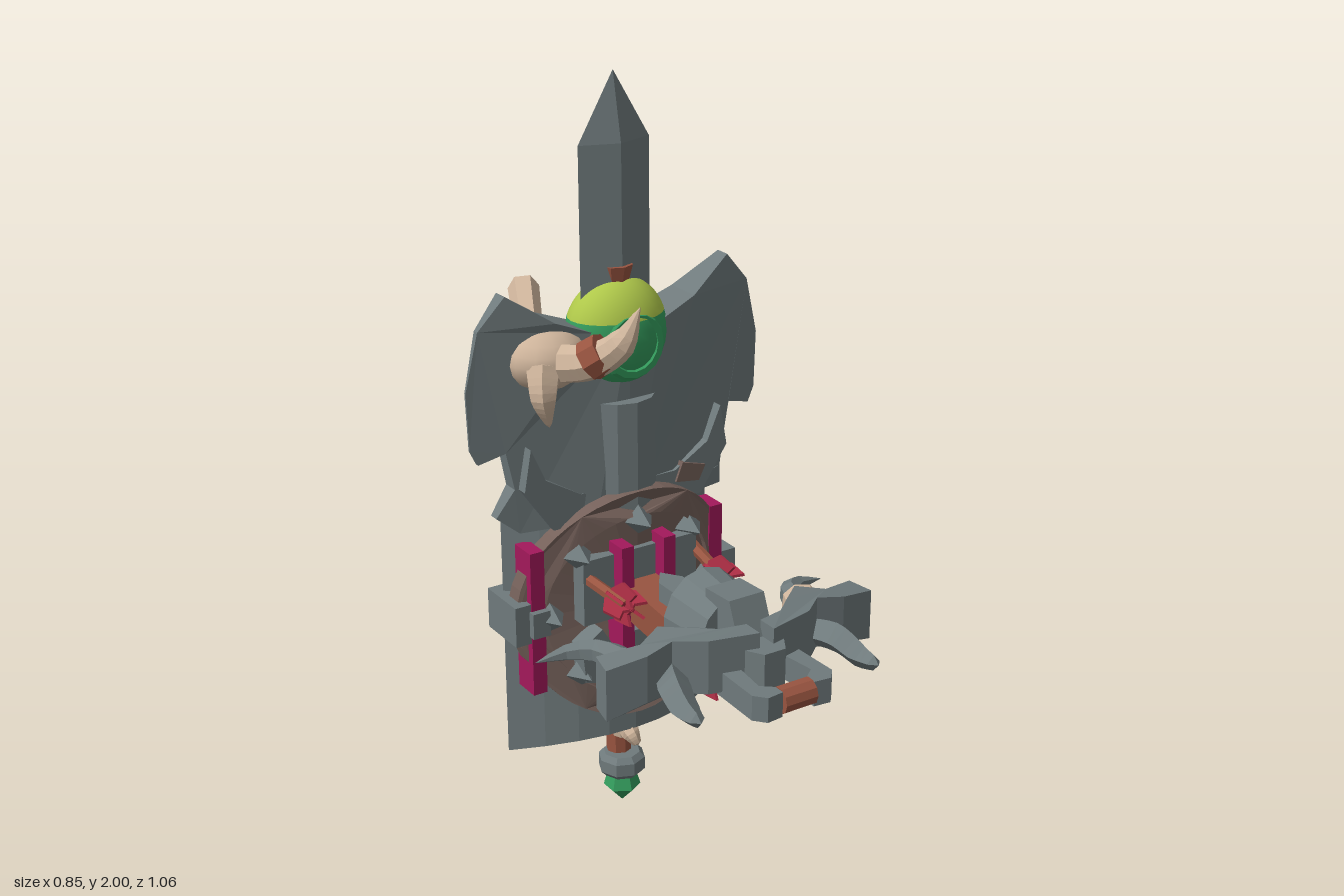
import * as THREE from 'three';

const mat = (name, color, side = THREE.FrontSide) => {
  const m = new THREE.MeshStandardMaterial({ color, side });
  m.name = name;
  return m;
};

export function createModel() {
  const root = new THREE.Group();
  root.name = 'ornateWeapon';
  const steel = mat('steel', 0x6f7a7c), wood = mat('dull wood', 0x75615a), leather = mat('leather', 0x985440);
  const magenta = mat('magenta cloth', 0xa3195b), red = mat('red feather', 0xa82c42, THREE.DoubleSide);
  const bone = mat('bone', 0xcfb59c), lime = mat('lime', 0xafc84a), green = mat('green', 0x349c5d);
  const V = (p) => new THREE.Vector3(...p);
  const sides = [-1, 1];

  const add = (name, geo, m, pos = [0, 0, 0], rot = [0, 0, 0], flat = true) => {
    let g = geo;
    if (flat) {
      if (g.index) g = g.toNonIndexed();
      g.computeVertexNormals();
    }
    const mesh = new THREE.Mesh(g, m);
    mesh.name = name;
    mesh.position.set(...pos);
    mesh.rotation.set(...rot);
    root.add(mesh);
    return mesh;
  };
  // box given by its low and high corners
  const box = (name, a, b, m) => add(name,
    new THREE.BoxGeometry(b[0] - a[0], b[1] - a[1], b[2] - a[2]), m, a.map((v, i) => (v + b[i]) / 2));
  const shapeOf = (pts) => new THREE.Shape(pts.map((p) => new THREE.Vector2(p[0], p[1])));
  // plate drawn in x-y, between two depths
  const plate = (pts, z0, z1) => new THREE.ExtrudeGeometry(shapeOf(pts),
    { depth: z1 - z0, bevelEnabled: false }).translate(0, 0, z0);
  // slab drawn in x-z, between two heights
  const slab = (pts, y0, y1) => new THREE.ExtrudeGeometry(shapeOf(pts.map((p) => [p[0], -p[1]])),
    { depth: y1 - y0, bevelEnabled: false }).rotateX(-Math.PI / 2).translate(0, y0, 0);
  // tapered tube through points; both end rings close to a point
  const limb = (name, pts, radii, m, n = 6) => {
    const curve = new THREE.CatmullRomCurve3(pts.map(V)), seg = 12;
    const g = new THREE.TubeGeometry(curve, seg, 1, n, false), pos = g.attributes.position;
    for (let i = 0; i <= seg; i++) {
      const c = curve.getPointAt(i / seg), f = (i / seg) * (radii.length - 1);
      const k = Math.min(Math.floor(f), radii.length - 2);
      const r = i === 0 || i === seg ? 0.0005 : THREE.MathUtils.lerp(radii[k], radii[k + 1], f - k);
      for (let j = 0; j <= n; j++) {
        const q = i * (n + 1) + j, v = new THREE.Vector3().fromBufferAttribute(pos, q);
        v.sub(c).multiplyScalar(r).add(c);
        pos.setXYZ(q, v.x, v.y, v.z);
      }
    }
    return add(name, g, m);
  };
  // cylinder running between two points
  const rod = (name, a, b, ra, rb, m, n = 8) => {
    const d = V(b).sub(V(a));
    const mesh = add(name, new THREE.CylinderGeometry(rb, ra, d.length(), n), m);
    mesh.position.copy(V(a).addScaledVector(d, 0.5));
    mesh.quaternion.setFromUnitVectors(new THREE.Vector3(0, 1, 0), d.normalize());
    return mesh;
  };
  const lathe = (pts, n) => new THREE.LatheGeometry(pts.map((p) => new THREE.Vector2(...p)), n);

  // sword point with a diamond section
  add('swordBlade', lathe([[0.1, 1.2], [0.1, 1.83], [0.0005, 2]], 4).scale(1, 1, 0.34), steel, [0, 0, -0.278]);

  // axe wings, thick in the middle and sharp outside
  for (const s of sides) {
    const pts = [[0, 1.38], [0.1, 1.38], [0.2, 1.42], [0.32, 1.5], [0.39, 1.42], [0.425, 1.27], [0.42, 1.12],
      [0.40, 1.08], [0.33, 1.1], [0.31, 1.0], [s < 0 ? 0.36 : 0.3, 0.93], [0.3, 0.88], [0.1, 0.88], [0, 0.88]];
    const g = plate(pts.map(([x, y]) => [x * s, y]), -1, 1), p = g.attributes.position;
    for (let i = 0; i < p.count; i++) {
      const x = Math.abs(p.getX(i));
      const t = Math.max(0.003, 0.066 * (1 - (x / 0.43) ** 2) * (x > 0.25 ? 0.7 : 1));
      p.setZ(i, -0.28 + Math.sign(p.getZ(i)) * t);
    }
    add('axeWing', g, steel);
  }
  add('mastSleeve', new THREE.CylinderGeometry(0.1, 0.1, 0.3, 12), steel, [0, 1.04, -0.28]);

  // round painted head with an eye on each face
  const ball = (name, a, b, m) => add(name, new THREE.SphereGeometry(1, 24, 10, 0, Math.PI * 2, a, b)
    .scale(0.137, 0.145, 0.104), m, [0, 1.35, -0.278], [0, 0, 0], false);
  ball('headCap', 0, 1.22, lime);
  ball('headBody', 1.22, Math.PI - 1.22, green);
  for (const s of sides) {
    add('eyeRing', new THREE.TorusGeometry(0.073, 0.016, 6, 16), green, [0, 1.335, -0.278 + s * 0.08]);
  }
  add('headCollar', new THREE.CylinderGeometry(0.045, 0.035, 0.04, 8), leather, [0, 1.505, -0.278]);

  // skull hung on one wing
  add('skull', new THREE.SphereGeometry(1, 14, 10).scale(0.115, 0.085, 0.12), bone, [-0.205, 1.325, -0.29],
    [0, 0, 0], false);
  limb('skullFrontHorn', [[-0.22, 1.33, -0.2], [-0.165, 1.35, -0.12], [-0.12, 1.41, -0.05], [-0.09, 1.5, -0.02]],
    [0.05, 0.045, 0.035, 0.002], bone, 8);
  rod('hornBand', [-0.17, 1.35, -0.125], [-0.143, 1.378, -0.095], 0.052, 0.05, leather);
  rod('skullBackHorn', [-0.2, 1.36, -0.36], [-0.13, 1.425, -0.51], 0.035, 0.04, bone, 6);
  limb('skullSideHorn', [[-0.16, 1.37, -0.41], [-0.21, 1.39, -0.45], [-0.28, 1.35, -0.46]], [0.035, 0.03, 0.002], bone);
  limb('skullBackTusk', [[-0.2, 1.33, -0.35], [-0.2, 1.26, -0.43], [-0.21, 1.16, -0.47]], [0.045, 0.035, 0.002], bone);
  limb('skullJaw', [[-0.24, 1.33, -0.22], [-0.26, 1.26, -0.19], [-0.24, 1.17, -0.2]], [0.05, 0.035, 0.005], bone);

  // curved shield, open to the back, with an arched foot
  const front = [], back = [];
  for (let i = -4; i <= 4; i++) {
    const x = i / 4, z = -0.2 - 0.14 * x * x;
    front.push([x * 0.31, z]);
    back.unshift([x * 0.295, z - 0.028]);
  }
  const shield = slab([...front, ...back], 0.22, 0.93), sp = shield.attributes.position;
  for (let i = 0; i < sp.count; i++) {
    if (sp.getY(i) < 0.5) sp.setY(i, 0.26 - 0.04 * (sp.getX(i) / 0.31) ** 2);
  }
  add('shield', shield, steel);
  add('crescent', plate([[-0.28, 1.11], [-0.24, 1.02], [-0.14, 0.96], [0.14, 0.96], [0.24, 1.02], [0.28, 1.11],
    [0.3, 1], [0.22, 0.88], [-0.22, 0.88], [-0.3, 1]], -0.3, -0.225), steel);
  add('woodPatch', plate([[0.14, 0.93], [0.21, 0.92], [0.23, 0.96], [0.16, 0.98]], -0.345, -0.218), wood);

  // round wooden boss, bent back at its sides like the shield
  const sweep = (x) => 0.09 * (x / 0.31) ** 2;
  const bend = (g) => {
    const p = g.attributes.position;
    for (let i = 0; i < p.count; i++) p.setZ(i, p.getZ(i) - sweep(p.getX(i)));
    return g;
  };
  const turn = [Math.PI / 2, 0, 0];
  add('bossDisc', bend(new THREE.CylinderGeometry(0.27, 0.27, 0.02, 24).rotateX(Math.PI / 2)), wood, [0, 0.64, -0.195]);
  const rim = new THREE.Shape().absarc(0, 0, 0.315, 0, Math.PI * 2);
  rim.holes.push(new THREE.Path().absarc(0, 0, 0.25, 0, Math.PI * 2, true));
  add('bossRim', bend(new THREE.ExtrudeGeometry(rim, { depth: 0.045, bevelEnabled: false, curveSegments: 24 })), wood,
    [0, 0.64, -0.215]);
  box('bossPlate', [-0.17, 0.62, -0.22], [0.17, 0.8, -0.17], steel);
  for (const s of sides) {
    const low = [[0.1, 0.44], [0.17, 0.46], [0.18, 0.56], [0.12, 0.6], [0.09, 0.55]];
    add('bossClaw', plate(low.map(([x, y]) => [x * s, y]), -0.22, -0.165), steel);
    const x = (a, b) => (s < 0 ? [-b, -a] : [a, b]);
    const [a, b] = x(0.25, 0.29), [c, d] = x(0.045, 0.08), [e, f] = x(0.285, 0.335);
    box('sideBar', [a, 0.43, -0.305], [b, 0.83, -0.228], magenta);
    box('innerBar', [c, 0.43, -0.21], [d, 0.83, -0.13], magenta);
    box('sideClamp', [e, 0.58, -0.375], [f, 0.69, -0.23], steel);
    box('clampCap', [s * 0.27 - 0.025, 0.6, -0.28], [s * 0.27 + 0.025, 0.67, -0.21], steel);
  }
  box('lowerBolt', [-0.035, 0.43, -0.2], [0.035, 0.58, -0.15], steel);
  for (let i = 0; i < 8; i++) {
    const a = (i * Math.PI) / 4, x = Math.sin(a) * 0.235;
    add('bossSpike', new THREE.ConeGeometry(0.04, 0.06, 4), steel,
      [x, 0.64 + Math.cos(a) * 0.235, -0.15 - sweep(x)], turn);
  }

  // forward beam and drum
  add('beam', slab([[-0.05, -0.2], [0.05, -0.2], [0.08, 0.12], [-0.08, 0.12]], 0.62, 0.715), leather);
  add('beamSpine', slab([[-0.035, -0.03], [0, -0.08], [0.035, -0.03], [0.035, 0.14], [-0.035, 0.14]], 0.69, 0.765), steel);
  add('drum', new THREE.CylinderGeometry(0.098, 0.115, 0.14, 14).scale(1, 1, 1.17), steel, [0, 0.722, 0.182], turn);
  add('drumBrow', plate([[-0.34, 0.76], [-0.36, 0.73], [-0.2, 0.73], [-0.2, 0.85], [-0.3, 0.855]], -0.05, 0.05),
    steel, [0, 0, 0], [0, Math.PI / 2, 0]);
  add('ramHead', slab([[-0.055, 0.24], [0.055, 0.24], [0.06, 0.37], [0.03, 0.42], [-0.03, 0.42], [-0.06, 0.37]],
    0.63, 0.76), steel);
  rod('roll', [-0.045, 0.68, 0.498], [0.045, 0.68, 0.498], 0.034, 0.034, leather, 10);

  // horns, hooked wings and claws on each side of the ram
  for (const s of sides) {
    const m = (pts) => pts.map(([x, ...r]) => [x * s, ...r]);
    add('ramProng', slab(m([[0.06, 0.34], [0.11, 0.34], [0.115, 0.49], [0.09, 0.52], [0.045, 0.515],
      [0.045, 0.485], [0.075, 0.46]]), 0.645, 0.71), steel);
    const wing = slab(m([[0.02, 0.33], [0.09, 0.315], [0.13, 0.28], [0.2, 0.22], [0.27, 0.255], [0.37, 0.22],
      [0.385, 0.29], [0.285, 0.31], [0.21, 0.3], [0.145, 0.355], [0.02, 0.385]]), 0.65, 0.77);
    const wp = wing.attributes.position;
    for (let i = 0; i < wp.count; i++) {
      const x = Math.abs(wp.getX(i));
      if (wp.getY(i) > 0.7) wp.setY(i, 0.8 - 0.18 * Math.max(0, x - 0.18));
      else wp.setY(i, 0.66 - (x > 0.3 ? 0.03 : 0));
    }
    add('hookWing', wing, steel);
    limb('frontClaw', m([[0.2, 0.7, 0.28], [0.235, 0.7, 0.35], [0.25, 0.68, 0.42], [0.255, 0.68, 0.49]]),
      [0.035, 0.04, 0.035, 0.015], steel, 4);
    limb('curvedHorn', m([[0.08, 0.71, 0.3], [0.17, 0.71, 0.26], [0.255, 0.7, 0.18], [0.285, 0.7, 0.09],
      [0.34, 0.69, 0.04], [0.425, 0.68, 0.03]]), [0.035, 0.036, 0.036, 0.033, 0.024, 0.002], steel);
    limb('ramBrace', m([[0.08, 0.68, 0.22], [0.14, 0.68, 0.23], [0.2, 0.69, 0.28]]), [0.025, 0.025, 0.025], steel);
  }
  rod('hornWrap', [0.245, 0.7, 0.21], [0.28, 0.7, 0.14], 0.047, 0.05, bone);

  // arrows stuck in the boss, with notched feathers
  const feather = [[-0.02, -0.06], [0.02, -0.06], [0.05, -0.02], [0.042, 0.045], [0.016, 0.025], [0, 0.04],
    [-0.018, 0.025], [-0.042, 0.045], [-0.05, -0.02]];
  for (const [x, y, lean] of [[-0.15, 0.745, 0], [0.11, 0.46, -0.06], [0.14, 0.745, -0.05]]) {
    rod('arrowShaft', [x - lean, y, -0.24], [x, y, 0], 0.016, 0.016, leather, 6);
    for (const k of [0.3, 1.35, 2.4]) {
      add('arrowFeather', slab(feather, -0.004, 0.004), red, [x, y, -0.01], [0, 0, k]);
    }
  }

  // grip behind the shield with cloth core, straps and knuckles
  box('gripCore', [-0.055, 0.45, -0.395], [0.055, 0.83, -0.26], magenta);
  for (const [y, r] of [[0.735, 0.096], [0.64, 0.09], [0.525, 0.094]]) {
    add('gripStrap', new THREE.CylinderGeometry(r, r * 0.95, 0.06, 8), leather, [0, y, -0.345], [0.12, 0, 0]);
  }
  add('knuckle', new THREE.SphereGeometry(0.042, 8, 6), leather, [0, 0.595, -0.43]);
  add('gripWrap', new THREE.CylinderGeometry(0.088, 0.088, 0.018, 8), bone, [0, 0.57, -0.345]);
  for (const s of sides) {
    box('gripBracket', [s * 0.085 - 0.02, 0.64, -0.39], [s * 0.085 + 0.02, 0.7, -0.22], steel);
    add('leaf', new THREE.ConeGeometry(0.022, 0.09, 4), green, [s * 0.04, 0.87, -0.35], [0, 0, -s * 0.3]);
  }
  add('gripTassel', new THREE.ConeGeometry(0.02, 0.06, 4), red, [0, 0.855, -0.365]);
  rod('backPost', [0, 0.82, -0.3], [0, 1, -0.3], 0.035, 0.045, steel);

  // handle, nut and gem pommel
  add('handle', lathe([[0.0005, 0.1], [0.034, 0.1], [0.034, 0.22], [0.06, 0.36], [0.06, 0.47], [0.0005, 0.47]], 8),
    leather, [0, 0, -0.29]);
  add('handleWrap', new THREE.CylinderGeometry(0.038, 0.03, 0.045, 8), bone, [0, 0.235, -0.265]);
  limb('wrapKnot', [[0, 0.24, -0.25], [-0.01, 0.24, -0.21], [0, 0.21, -0.19]], [0.025, 0.025, 0.01], bone);
  add('pommelNut', lathe([[0.0005, 0.09], [0.05, 0.09], [0.064, 0.105], [0.064, 0.14], [0.05, 0.155], [0.0005, 0.155]], 8),
    steel, [0, 0, -0.275]);
  add('pommelGem', lathe([[0.0005, 0], [0.05, 0.05], [0.035, 0.1], [0.0005, 0.1]], 6), green, [0, 0, -0.275]);
  return root;
}
